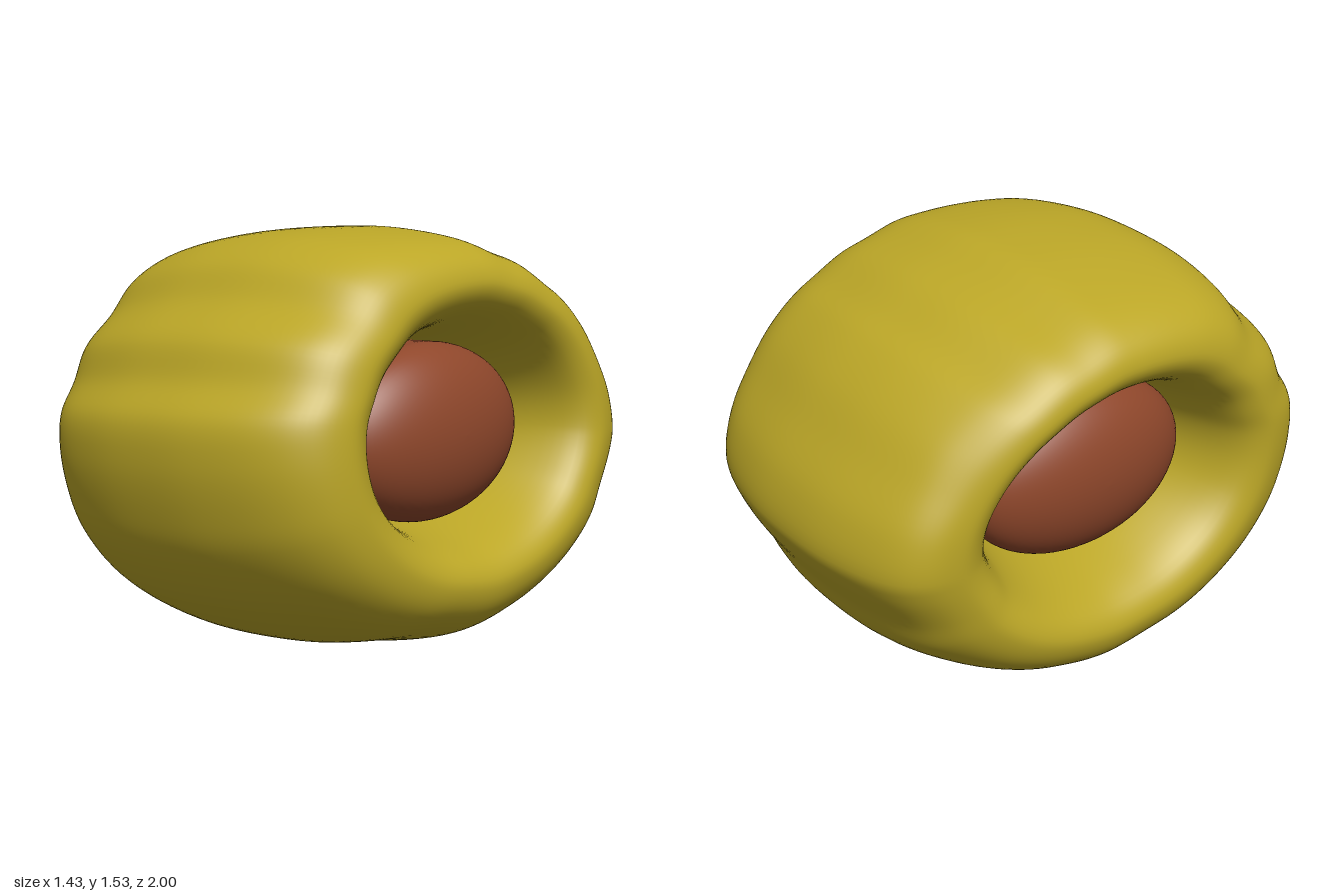
import * as THREE from 'three';

const yellow = new THREE.MeshStandardMaterial({ color: 0xbca727 });
yellow.name = 'mustard yellow';
const red = new THREE.MeshStandardMaterial({ color: 0x8f472b });
red.name = 'brick red';

const TILT = 0.067; // the roll's axis rises slightly towards +x
const MID_Y = 0.768;

// lumpy outline of the roll at its middle, as [z, y]
const OUTLINE = [
  [0, 1.525], [0.25, 1.52], [0.44, 1.49], [0.58, 1.42], [0.68, 1.3], [0.83, 1.18], [0.895, 1.045],
  [0.985, 0.925], [1, 0.78], [0.97, 0.605], [0.92, 0.47], [0.79, 0.3], [0.6, 0.16], [0.4, 0.075],
  [0.2, 0.04], [-0.03, 0.006], [-0.26, 0.045], [-0.44, 0.1], [-0.63, 0.19], [-0.8, 0.32],
  [-0.87, 0.45], [-0.97, 0.605], [-1, 0.69], [-0.96, 0.86], [-0.855, 1.03], [-0.755, 1.17],
  [-0.63, 1.285], [-0.525, 1.345], [-0.39, 1.425], [-0.26, 1.465], [-0.12, 1.515],
];

// half of the wall's section: [x, scale, share of lumpy outline against smooth oval hole]
const WALL = [
  [0.2, 0.99, 1], [0.4, 0.95, 0.95], [0.54, 0.895, 0.8], [0.625, 0.825, 0.65], [0.668, 0.745, 0.5],
  [0.677, 0.67, 0.38], [0.635, 0.595, 0.25], [0.52, 0.535, 0.1], [0.3, 0.48, 0],
];

function createWrap() {
  const right = WALL.map(([x, s, w]) => new THREE.Vector3(x, s, w));
  const left = WALL.map(([x, s, w]) => new THREE.Vector3(-x, s, w)).reverse();
  const section = new THREE.CatmullRomCurve3(
    [new THREE.Vector3(0, 1, 1), ...right, new THREE.Vector3(0, 0.46, 0), ...left], true);
  const outline = new THREE.CatmullRomCurve3(
    OUTLINE.map(([z, y]) => new THREE.Vector3(0, y - MID_Y, z)), true);

  const around = 186, along = 80;
  const positions = [], index = [];
  for (let j = 0; j < along; j++) {
    const { x, y: scale, z: lumpy } = section.getPoint(j / along);
    const w = THREE.MathUtils.clamp(lumpy, 0, 1);
    const ovalHeight = 0.7 + 0.07 * Math.min(1, w * 2);
    for (let i = 0; i < around; i++) {
      const p = outline.getPoint(i / around);
      const angle = Math.atan2(p.y / 0.76, p.z);
      const y = scale * THREE.MathUtils.lerp(ovalHeight * Math.sin(angle), p.y, w) + 0.028 * (1 - w);
      const z = scale * THREE.MathUtils.lerp(0.98 * Math.cos(angle), p.z, w) - 0.02 * (1 - w);
      // the -x end is pressed in a little towards the back
      const dent = 0.05 * THREE.MathUtils.smoothstep(-x, 0.3, 0.65) * Math.exp(-(((z + 0.7) / 0.2) ** 2));
      positions.push(x + dent - TILT * y, MID_Y + y + TILT * x, z);

      const i2 = (i + 1) % around, j2 = (j + 1) % along;
      const a = j * around + i, b = j * around + i2, c = j2 * around + i2, d = j2 * around + i;
      index.push(a, b, c, a, c, d);
    }
  }
  const geometry = new THREE.BufferGeometry();
  geometry.setAttribute('position', new THREE.Float32BufferAttribute(positions, 3));
  geometry.setIndex(index);
  geometry.computeVertexNormals();
  return new THREE.Mesh(geometry, yellow);
}

// oval rod with shallow domed ends
function createFilling() {
  const profile = [];
  for (let k = 0; k <= 41; k++) {
    const t = (Math.PI * k) / 41;
    const end = k < 21 ? -1 : 1;
    profile.push(new THREE.Vector2(Math.sin(t), end * 0.365 - 0.21 * Math.cos(t)));
  }
  const geometry = new THREE.LatheGeometry(profile, 64).rotateZ(-Math.PI / 2);
  return new THREE.Mesh(geometry, red);
}

export function createModel() {
  const model = new THREE.Group();
  model.name = 'filledRoll';

  // hollow, lumpy outer roll
  const wrap = createWrap();
  wrap.name = 'wrap';

  // filling, reaching almost to both openings
  const filling = createFilling();
  filling.name = 'filling';
  filling.scale.set(1, 0.322, 0.468);
  filling.position.set(0, 0.797, -0.02);
  filling.rotation.z = TILT / 2;

  model.add(wrap, filling);
  return model;
}
